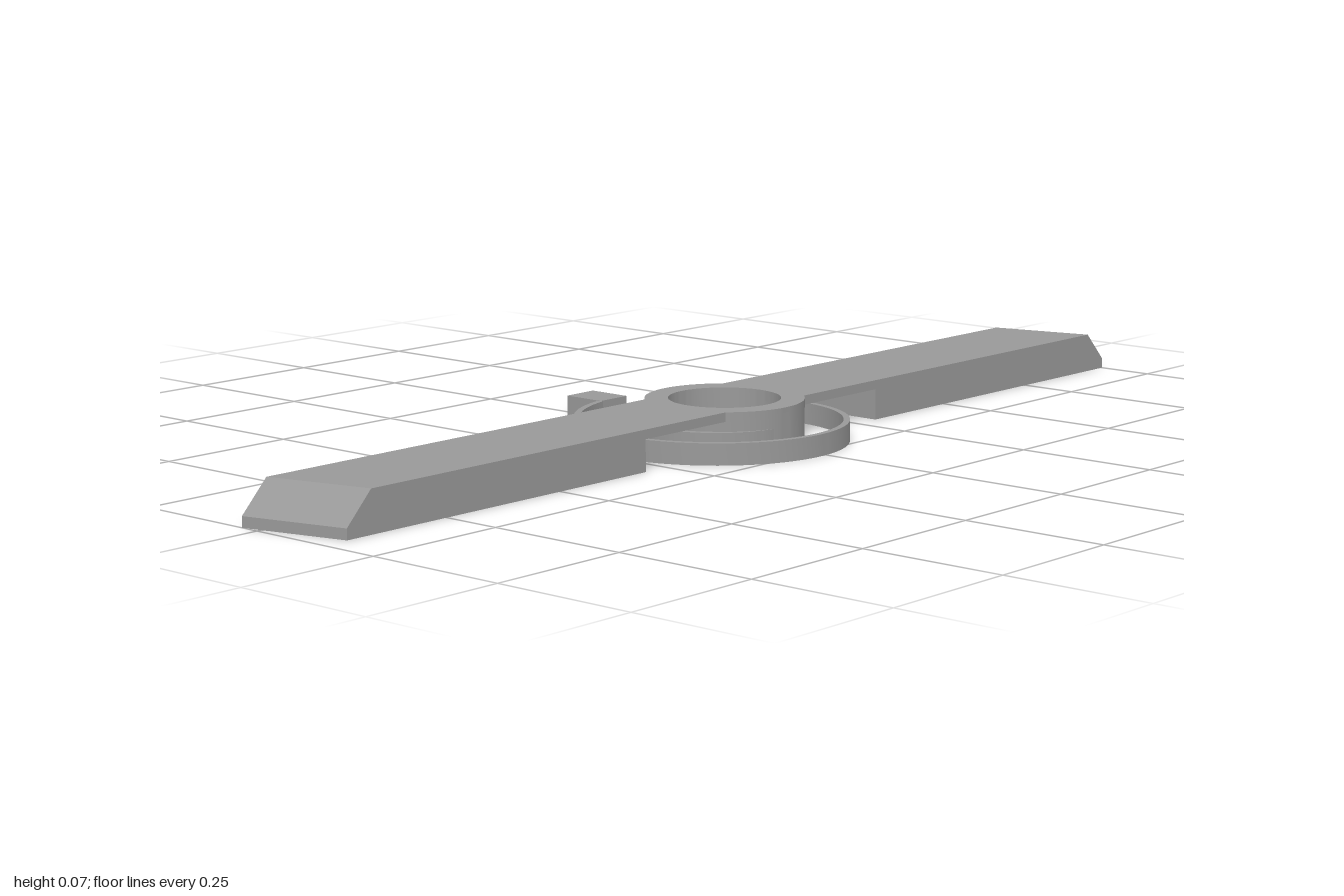
import * as THREE from 'three';
import { toCreasedNormals } from 'three/addons/utils/BufferGeometryUtils.js';

const HUB_X = 0.057, TOP = 0.07, LOW = 0.037, STEP = 0.054, HALF = 0.09;

// Extrude a plan drawn in (x, z) so that it fills bottom..top in y.
function extrudePlan(shape, bottom, top) {
  const g = new THREE.ExtrudeGeometry(shape, { depth: top - bottom, bevelEnabled: false, curveSegments: 48 });
  g.rotateX(Math.PI / 2);
  g.translate(0, top, 0);
  return toCreasedNormals(g, 0.5);
}

function rectShape(x0, x1, z0, z1) {
  return new THREE.Shape([[x0, z0], [x1, z0], [x1, z1], [x0, z1]].map(p => new THREE.Vector2(...p)));
}

function circleHole(shape, x, z, r) {
  shape.holes.push(new THREE.Path().absarc(x, z, r, 0, Math.PI * 2, true));
  return shape;
}

export function createModel() {
  const model = new THREE.Group();
  const grey = new THREE.MeshStandardMaterial({ color: 0x999999 });
  grey.name = 'grey';
  const add = (parent, name, geometry) => {
    const mesh = new THREE.Mesh(geometry, grey);
    mesh.name = name;
    parent.add(mesh);
  };

  const balance = new THREE.Group();
  balance.name = 'balanceBar';
  balance.position.x = HUB_X;
  model.add(balance);

  // Hub ring
  const ring = new THREE.Shape().absarc(0, 0, 0.136, 0, Math.PI * 2, false);
  add(balance, 'hub', extrudePlan(circleHole(ring, 0, 0, 0.096), 0, TOP));

  // Two arms: thin bridge, thick root, chamfered slanted tip
  for (const side of ['front', 'back']) {
    const arm = new THREE.Group();
    arm.name = side + 'Arm';
    if (side === 'back') arm.rotation.y = Math.PI;
    balance.add(arm);

    add(arm, 'bridge', extrudePlan(rectShape(-HALF, HALF, 0.1, 0.46), STEP, TOP));

    // The back arm has a round pocket in its underside
    const root = rectShape(-HALF, HALF, 0.3, 0.46);
    if (side === 'back') circleHole(root, 0, 0.375, 0.058);
    add(arm, 'root', extrudePlan(root, 0, STEP));

    const profile = new THREE.Shape(
      [[0.46, 0], [1, 0], [1, 0.018], [0.95, TOP], [0.46, TOP]].map(p => new THREE.Vector2(...p)));
    const blade = new THREE.ExtrudeGeometry(profile, { depth: 2 * HALF, bevelEnabled: false });
    blade.rotateY(-Math.PI / 2);
    blade.translate(HALF, 0, 0);
    const pos = blade.attributes.position;
    for (let i = 0; i < pos.count; i++) {
      if (pos.getZ(i) > 0.6) pos.setZ(i, pos.getZ(i) - 0.25 * (pos.getX(i) + HALF));
    }
    blade.computeVertexNormals();
    add(arm, 'blade', blade);
  }

  // Flat spiral spring, one and a half turns outward from the hub
  const outer = [], inner = [], steps = 150;
  for (let i = 0; i <= steps; i++) {
    const a = 2.96 * Math.PI * i / steps;
    const r = 0.133 + 0.0445 * a / Math.PI;
    outer.push(new THREE.Vector2(r * Math.cos(a), r * Math.sin(a)));
    inner.push(new THREE.Vector2((r - 0.011) * Math.cos(a), (r - 0.011) * Math.sin(a)));
  }
  add(balance, 'spiralSpring', extrudePlan(new THREE.Shape([...outer, ...inner.reverse()]), 0, LOW));

  // Anchor block at the outer end of the spring
  add(model, 'springAnchor', extrudePlan(rectShape(-0.28, -0.2, -0.035, 0.031), 0, LOW));

  return model;
}
